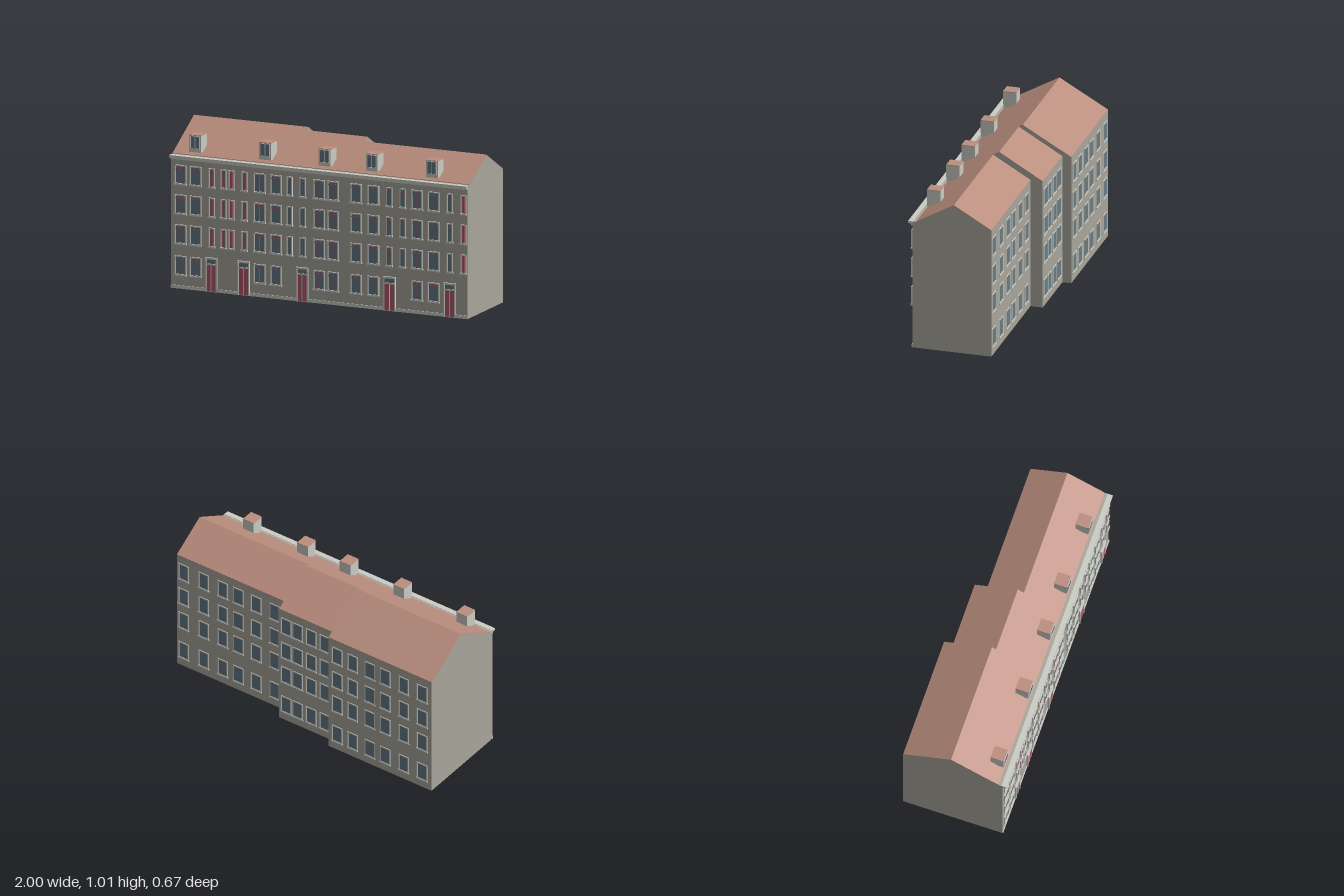
import * as THREE from 'three';
import { mergeGeometries } from 'three/addons/utils/BufferGeometryUtils.js';

const FRONT = 0.308, EAVE = 0.832, ROOF_Z = 0.283, PITCH = 0.574;

export function createModel() {
  const model = new THREE.Group();
  const paint = (name, color) => {
    const m = new THREE.MeshStandardMaterial({ color });
    m.name = name;
    return m;
  };
  const wall = paint('wall plaster', 0xa9a69b);
  const trim = paint('pale trim', 0xcbccc5);
  const tile = paint('roof tile', 0xbb8e7e);
  const glass = paint('window glass', 0x667b85);
  const red = paint('red joinery', 0xb2586a);

  // Geometries are collected by part and merged into one mesh each
  const parts = new Map();
  const put = (name, material, geometry) => {
    if (!parts.has(name)) parts.set(name, { material, list: [] });
    parts.get(name).list.push(geometry.index ? geometry.toNonIndexed() : geometry);
  };
  const box = (name, material, x0, x1, y0, y1, z0, z1) => {
    const g = new THREE.BoxGeometry(x1 - x0, y1 - y0, z1 - z0);
    put(name, material, g.translate((x0 + x1) / 2, (y0 + y1) / 2, (z0 + z1) / 2));
  };
  // Extrudes a (z, y) profile along x
  const prism = (name, material, points, x0, x1) => {
    const shape = new THREE.Shape(points.map(([z, y]) => new THREE.Vector2(-z, y)));
    const g = new THREE.ExtrudeGeometry(shape, { depth: x1 - x0, bevelEnabled: false });
    put(name, material, g.rotateY(Math.PI / 2).translate(x0, 0, 0));
  };
  // Open rectangular surround, centred on x, from y0 to y1
  const surround = (name, x, y0, y1, w, border, z, depth) => {
    const rect = (P, a, b, c, d) => new P([[a, c], [b, c], [b, d], [a, d]].map(p => new THREE.Vector2(...p)));
    const shape = rect(THREE.Shape, -w / 2, w / 2, y0, y1);
    shape.holes.push(rect(THREE.Path, -w / 2 + border, w / 2 - border, y0 + border, y1 - border));
    const g = new THREE.ExtrudeGeometry(shape, { depth, bevelEnabled: false });
    put(name, trim, g.translate(x, 0, z));
  };

  // Three house blocks stepping back behind one shared front
  const blocks = [
    { x0: -1, x1: -0.23, back: -0.33, ridge: -0.022,
      cols: [-0.93, -0.793, -0.655, -0.54, -0.41, -0.295] },
    { x0: -0.23, x1: 0.18, back: -0.273, ridge: 0.004, cols: [-0.16, -0.06, 0.04, 0.127] },
    { x0: 0.18, x1: 1, back: -0.195, ridge: 0.043,
      cols: [0.268, 0.407, 0.54, 0.657, 0.8, 0.95] },
  ];
  const backRows = [0.057, 0.284, 0.469, 0.657];
  for (const { x0, x1, back, ridge, cols } of blocks) {
    const top = EAVE + (ROOF_Z - ridge) * PITCH;
    prism('houseBody', wall, [[FRONT, 0], [FRONT, EAVE], [ROOF_Z, EAVE], [ridge, top], [back, EAVE], [back, 0]], x0, x1);
    const t = 0.003;
    prism('roof', tile, [[ROOF_Z, EAVE], [ROOF_Z, EAVE + t], [ridge, top + t], [back, EAVE + t], [back, EAVE], [ridge, top]], x0, x1);

    // Rear windows
    for (const x of cols) for (const y of backRows) {
      box('rearGlass', glass, x - 0.031, x + 0.031, y + 0.006, y + 0.114, back - 0.002, back + 0.002);
      surround('rearFrames', x, y, y + 0.12, 0.077, 0.007, back - 0.004, 0.006);
      box('rearSills', trim, x - 0.042, x + 0.042, y - 0.005, y + 0.003, back - 0.006, back);
    }
  }

  // Cornice and plinth along the front
  box('cornice', trim, -1, 1, 0.818, EAVE + 0.001, FRONT - 0.006, 0.335);
  box('corniceMoulding', trim, -1, 1, 0.806, 0.818, FRONT, 0.316);
  box('plinth', trim, -1, 1, 0, 0.02, FRONT, 0.313);

  // Front windows
  const frontWindow = (x, y, w, style) => {
    const h = 0.12, z = FRONT;
    box('frontGlass', glass, x - w / 2 + 0.006, x + w / 2 - 0.006, y + 0.006, y + h - 0.006, z - 0.002, z + 0.003);
    surround('frontFrames', x, y, y + h, w, 0.007, z, 0.009);
    box('frontSills', trim, x - w / 2 - 0.003, x + w / 2 + 0.003, y - 0.005, y + 0.004, z, z + 0.012);
    if (style === 'strip') box('redSashes', red, x - 0.009, x + 0.009, y + 0.008, y + h - 0.008, z, z + 0.005);
    else box('redTransoms', red, x - w / 2 + 0.007, x + w / 2 - 0.007, y + 0.094, y + 0.1, z, z + 0.005);
    if (style === 'wide') box('redMullions', red, x - 0.0015, x + 0.0015, y + 0.007, y + 0.094, z, z + 0.0045);
  };
  const wide = [-0.933, -0.83, -0.4, -0.29, 0, 0.094, 0.249, 0.366, 0.66, 0.773];
  const redNarrow = [-0.722, -0.644, -0.59, -0.503, 0.973];
  const narrow = [-0.198, -0.11, 0.473, 0.564, 0.882];
  for (const y of [0.085, 0.28, 0.467, 0.652]) {
    for (const x of wide) frontWindow(x, y, 0.077, 'wide');
    if (y < 0.1) continue;
    for (const x of redNarrow) frontWindow(x, y, 0.041, 'strip');
    for (const x of narrow) frontWindow(x, y, 0.041, 'plain');
  }

  // Front doors: paired red leaves, fanlight and canopy
  for (const x of [-0.725, -0.507, -0.112, 0.476, 0.882]) {
    for (const s of [-1, 1]) {
      const c = x + s * 0.017;
      box('doorLeaves', red, c - 0.0145, c + 0.0145, 0.004, 0.168, FRONT, 0.315);
      const j = x + s * 0.036;
      box('doorJambs', trim, j - 0.004, j + 0.004, 0, 0.2, FRONT, 0.318);
    }
    box('doorCentres', trim, x - 0.0025, x + 0.0025, 0.004, 0.168, FRONT, 0.316);
    box('doorTransoms', trim, x - 0.038, x + 0.038, 0.168, 0.176, FRONT, 0.319);
    box('doorFanlights', glass, x - 0.032, x + 0.032, 0.176, 0.203, FRONT, 0.314);
    box('doorCanopies', trim, x - 0.041, x + 0.041, 0.203, 0.214, FRONT, 0.32);
  }

  // Dormers on the front slope
  for (const x of [-0.85, -0.379, 0.022, 0.34, 0.745]) {
    box('dormerBodies', trim, x - 0.04, x + 0.04, 0.852, 0.957, 0.195, 0.278);
    box('dormerRoofs', tile, x - 0.04, x + 0.04, 0.957, 0.96, 0.195, 0.279);
    for (const s of [-1, 1]) {
      const c = x + s * 0.0155;
      box('dormerGlass', glass, c - 0.0125, c + 0.0125, 0.877, 0.95, 0.276, 0.281);
    }
    surround('dormerFrames', x, 0.872, 0.955, 0.066, 0.005, 0.277, 0.006);
  }

  for (const [name, { material, list }] of parts) {
    const mesh = new THREE.Mesh(mergeGeometries(list), material);
    mesh.name = name;
    model.add(mesh);
  }
  return model;
}
